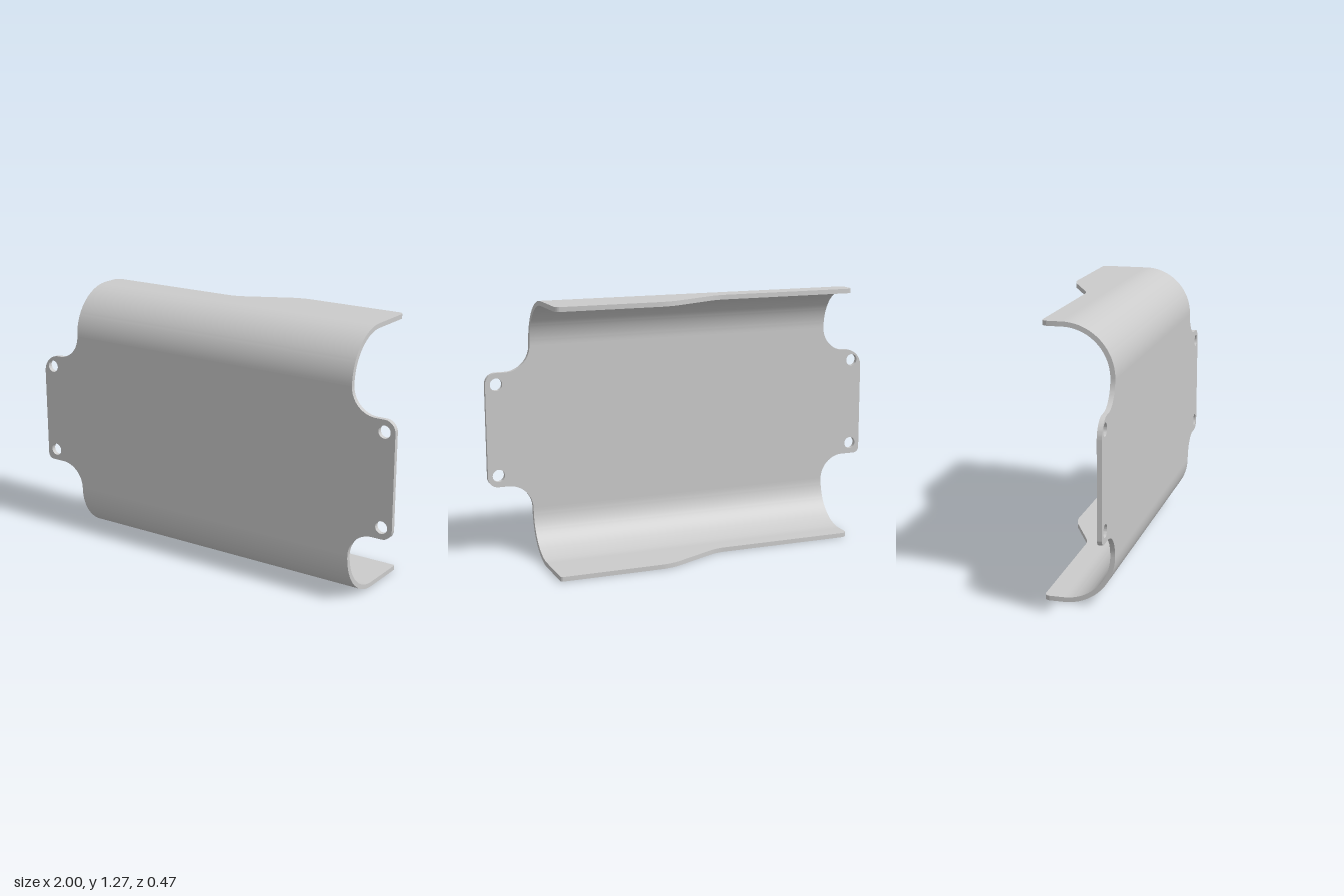
import * as THREE from 'three';
import { toCreasedNormals } from 'three/addons/utils/BufferGeometryUtils.js';

const T = 0.022;      // sheet thickness
const R = 0.235;      // outer bend radius
const H = 1.27;       // overall height
const BODY = 0.78;    // half width of the body
const FILLET = 0.122; // relief between body and tabs

const material = new THREE.MeshStandardMaterial({ color: 0xcccccc, side: THREE.DoubleSide });

function extrude(shape, depth) {
  return new THREE.ExtrudeGeometry(shape, { depth, bevelEnabled: false, curveSegments: 20 });
}

function addPart(group, name, geometry) {
  const mesh = new THREE.Mesh(toCreasedNormals(geometry, 0.5), material);
  mesh.name = name;
  group.add(mesh);
}

// Closed outline from [x, y, cornerRadius] points
function roundedShape(points) {
  const shape = new THREE.Shape();
  points.forEach(([x, y, r], i) => {
    const p = new THREE.Vector2(x, y);
    const toward = (q) => new THREE.Vector2(q[0], q[1]).sub(p).setLength(r).add(p);
    const a = toward(points[(i + points.length - 1) % points.length]);
    const b = toward(points[(i + 1) % points.length]);
    if (i === 0) shape.moveTo(a.x, a.y);
    else shape.lineTo(a.x, a.y);
    // Cubic approximation of a circular corner
    const k = 0.55;
    if (r > 0) {
      const c = a.clone().lerp(p, k), d = b.clone().lerp(p, k);
      shape.bezierCurveTo(c.x, c.y, d.x, d.y, b.x, b.y);
    }
  });
  shape.closePath();
  return shape;
}

// Flat face with mounting tabs and four screw holes
function plateGeometry() {
  const low = R + FILLET, high = H - R - FILLET;
  const shape = roundedShape([
    [-BODY, R, 0], [BODY, R, 0],
    [BODY, low, FILLET], [1, low, 0.05], [1, high, 0.053], [BODY, high, FILLET],
    [BODY, H - R, 0], [-BODY, H - R, 0],
    [-BODY, high, FILLET], [-1, high, 0.09], [-1, low, 0.03], [-BODY, low, FILLET],
  ]);
  for (const x of [-0.947, 0.947]) {
    for (const y of [0.413, 0.857]) {
      shape.holes.push(new THREE.Path().absarc(x, y, 0.03, 0, Math.PI * 2, true));
    }
  }
  return extrude(shape, T).translate(0, 0, R - T);
}

// Quarter-round bend, swept along x
function bendGeometry(top) {
  const shape = new THREE.Shape();
  const cy = top ? H - R : R;
  const end = top ? Math.PI / 2 : Math.PI * 1.5;
  shape.absarc(0, cy, R, Math.PI, end, top);
  shape.absarc(0, cy, R - T, end, Math.PI, !top);
  shape.closePath();
  return extrude(shape, BODY * 2).rotateY(Math.PI / 2).translate(-BODY, 0, 0);
}

// Flange with a shallow and a deep section joined by a slope
function flangeGeometry(y, wideCorner) {
  const shape = roundedShape([
    [-BODY, 0, 0], [BODY, 0, 0],
    [BODY, R, wideCorner], [0.23, R, 0.05],
    [-0.055, 0.093, 0.04], [-BODY, 0.093, 0.03],
  ]);
  return extrude(shape, T).rotateX(-Math.PI / 2).translate(0, y, 0);
}

export function createModel() {
  const group = new THREE.Group();
  group.name = 'bracket';
  addPart(group, 'facePlate', plateGeometry());
  addPart(group, 'topBend', bendGeometry(true));
  addPart(group, 'bottomBend', bendGeometry(false));
  addPart(group, 'topFlange', flangeGeometry(H - T, 0.03));
  addPart(group, 'bottomFlange', flangeGeometry(0, 0.01));
  return group;
}
